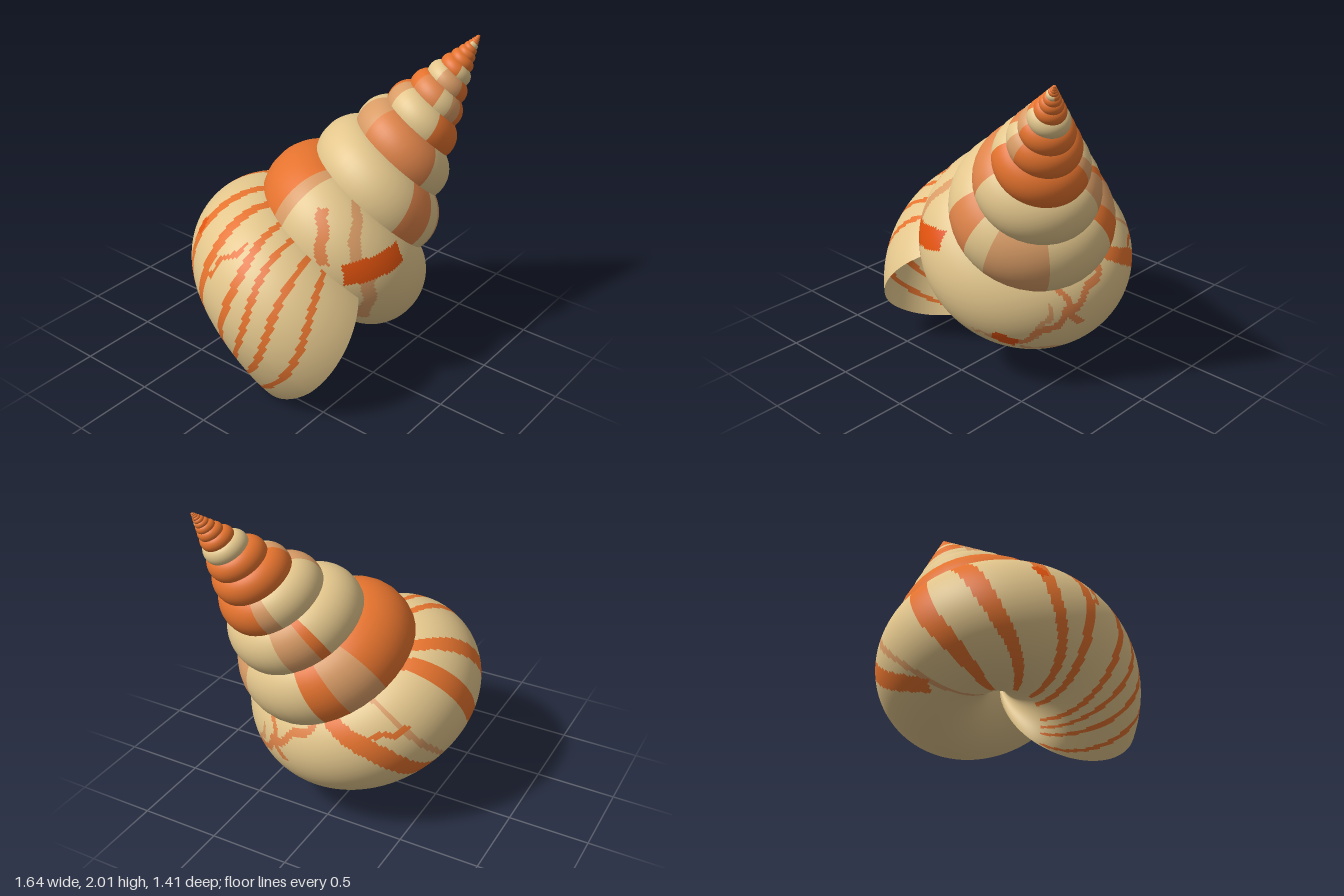
import * as THREE from 'three';

const mat = (name, color) => {
  const m = new THREE.MeshStandardMaterial({ color, side: THREE.DoubleSide });
  m.name = name;
  return m;
};
const TAN = 0, ORANGE = 1, PALE = 2, BRIGHT = 3, SOFT = 4;

// Coiling frame: axis runs from the apex to the base, e1 points to the mouth
const apex = new THREE.Vector3(0.81, 2, 0.61);
const axis = new THREE.Vector3(-0.468, -0.813, -0.344).normalize();
const e1 = new THREE.Vector3(-0.776, 0.118, 0.623);
e1.addScaledVector(axis, -e1.dot(axis)).normalize();
const e2 = new THREE.Vector3().crossVectors(e1, axis);

const GROWTH = 1.333;                        // size ratio per turn
const HEIGHT = 1.945, OFFSET = 0.41, WIDE = 0.4, TALL = 0.425;

// Point on the coiled tube: deg along the coil, v around the section
function shellPoint(deg, v) {
  const p = THREE.MathUtils.degToRad(deg);
  const s = Math.pow(GROWTH, deg / 360);
  // near the mouth the lip is drawn out toward the base and the axis
  const lip = 0.07 * THREE.MathUtils.smoothstep(deg, -60, 19) * Math.max(0, Math.cos(v - 2.1));
  const out = (OFFSET + WIDE * Math.cos(v) - lip) * s;
  const down = (HEIGHT + TALL * Math.sin(v) + lip) * s;
  return apex.clone()
    .addScaledVector(axis, down)
    .addScaledVector(e1, Math.cos(p) * out)
    .addScaledVector(e2, Math.sin(p) * out);
}

// Spire bands: each colour holds from its start angle up to the next one
const bands = [
  [-5770, ORANGE], [-4000, TAN], [-3850, ORANGE], [-2520, TAN], [-2190, PALE],
  [-2130, ORANGE], [-1860, SOFT], [-1806, TAN], [-1776, PALE], [-1752, ORANGE],
  [-1530, PALE], [-1500, TAN], [-1428, ORANGE], [-1278, PALE], [-1260, TAN],
  [-1164, PALE], [-1128, SOFT], [-1050, TAN], [-912, PALE], [-888, ORANGE],
  [-876, TAN], [-699, SOFT], [-668, TAN], [-650, PALE], [-606, TAN],
  [-552, ORANGE], [-540, PALE], [-514, ORANGE],
];
function spireColour(deg) {
  let c = ORANGE;
  for (const [start, colour] of bands) if (deg >= start) c = colour;
  return c;
}

// Body whorl stripes: angle, half width, slant per radian, colour
const stripes = [
  [-158, 1.6, 4, PALE], [-128, 5, 2, ORANGE], [-104, 4.5, 9, ORANGE], [-72, 3, 7, ORANGE],
  [-55, 2.6, 5, ORANGE], [-36, 2, 6, ORANGE], [-25, 1.6, 6, ORANGE],
  [-13, 1.7, 5, ORANGE], [1, 1.6, 6, ORANGE],
];
// Veins and patches: start angle and v, end angle and v, half width, waviness, colour
const veins = [
  [-357, 9, -330, -48, 12, 0, BRIGHT], [-277, -2, -264, 3, 8, 0, BRIGHT],
  [-76, -6, -72, 6, 5, 0, BRIGHT], [-50, 15, -43, -30, 2.5, 2, ORANGE],
  [-194, -80, -158, 70, 10, 2, ORANGE], [-182, -40, -158, -20, 3, 2, ORANGE],
  [-266, 0, -236, -40, 4, 3, SOFT], [-236, -40, -198, -68, 4, 3, SOFT],
  [-241, -75, -232, -20, 4, 3, SOFT], [-262, 8, -225, 25, 3, 3, PALE],
  [-288, 6, -276, 0, 2.5, 2, PALE], [-258, -8, -246, -48, 3, 3, PALE],
  [-376, -70, -356, -10, 7, 2, PALE], [-388, -30, -370, 16, 7, 2, SOFT],
  [-344, -6, -325, 42, 8, 2, PALE],
];
function bodyColour(deg, v) {
  if (deg < -402) return PALE;
  const vd = THREE.MathUtils.radToDeg(v);
  for (const [a, va, b, vb, w, wave, c] of veins) {
    const dx = 2 * (b - a), dy = vb - va, px = 2 * (deg - a), py = vd - va;
    const len = Math.hypot(dx, dy), t = (px * dx + py * dy) / (len * len);
    if (t < 0 || t > 1) continue;
    const side = (px * dy - py * dx) / len;
    if (Math.abs(side + wave * Math.sin(t * 11)) < w) return c;
  }
  for (const [at, w, slant, c] of stripes) {
    const mid = at + slant * v + 1.2 * Math.sin(3 * v + at);
    if (Math.abs(deg - mid) < w && Math.abs(vd) < 125) return c;
  }
  return TAN;
}

// Tube from one coil angle to another, faces grouped by colour
function coil(name, from, to, step, sides, colourAt, materials) {
  const rows = Math.round((to - from) / step);
  const pos = [], faces = materials.map(() => []);
  const vAt = j => -Math.PI + (j / sides) * Math.PI * 2;
  for (let i = 0; i <= rows; i++)
    for (let j = 0; j < sides; j++) pos.push(...shellPoint(from + i * step, vAt(j)).toArray());
  for (let i = 0; i < rows; i++)
    for (let j = 0; j < sides; j++) {
      const k = (j + 1) % sides;
      const a = i * sides + j, b = i * sides + k, c = a + sides, d = b + sides;
      faces[colourAt(from + (i + 0.5) * step, vAt(j + 0.5))].push(a, b, c, b, d, c);
    }
  const geo = new THREE.BufferGeometry();
  geo.setAttribute('position', new THREE.Float32BufferAttribute(pos, 3));
  geo.setIndex(faces.flat());
  let start = 0;
  faces.forEach((f, m) => {
    if (f.length) geo.addGroup(start, f.length, m);
    start += f.length;
  });
  geo.computeVertexNormals();
  const mesh = new THREE.Mesh(geo, materials);
  mesh.name = name;
  return mesh;
}

export function createModel() {
  const materials = [
    mat('sandShell', 0xe3c68c), mat('orangeBand', 0xe5732e), mat('paleOrange', 0xd99c66),
    mat('brightOrange', 0xe2530f), mat('softOrange', 0xdf844a),
  ];
  const shell = new THREE.Group();
  shell.name = 'spiralShell';
  shell.add(coil('spire', -5766, -411, 9, 48, spireColour, materials));
  shell.add(coil('bodyWhorl', -411, 19, 1.25, 120, bodyColour, materials));

  // Stand on the ground, centred
  const box = new THREE.Box3().setFromObject(shell);
  const mid = box.getCenter(new THREE.Vector3());
  shell.position.set(-mid.x, -box.min.y, -mid.z);

  const group = new THREE.Group();
  group.name = 'seaSnailShell';
  group.add(shell);
  return group;
}
